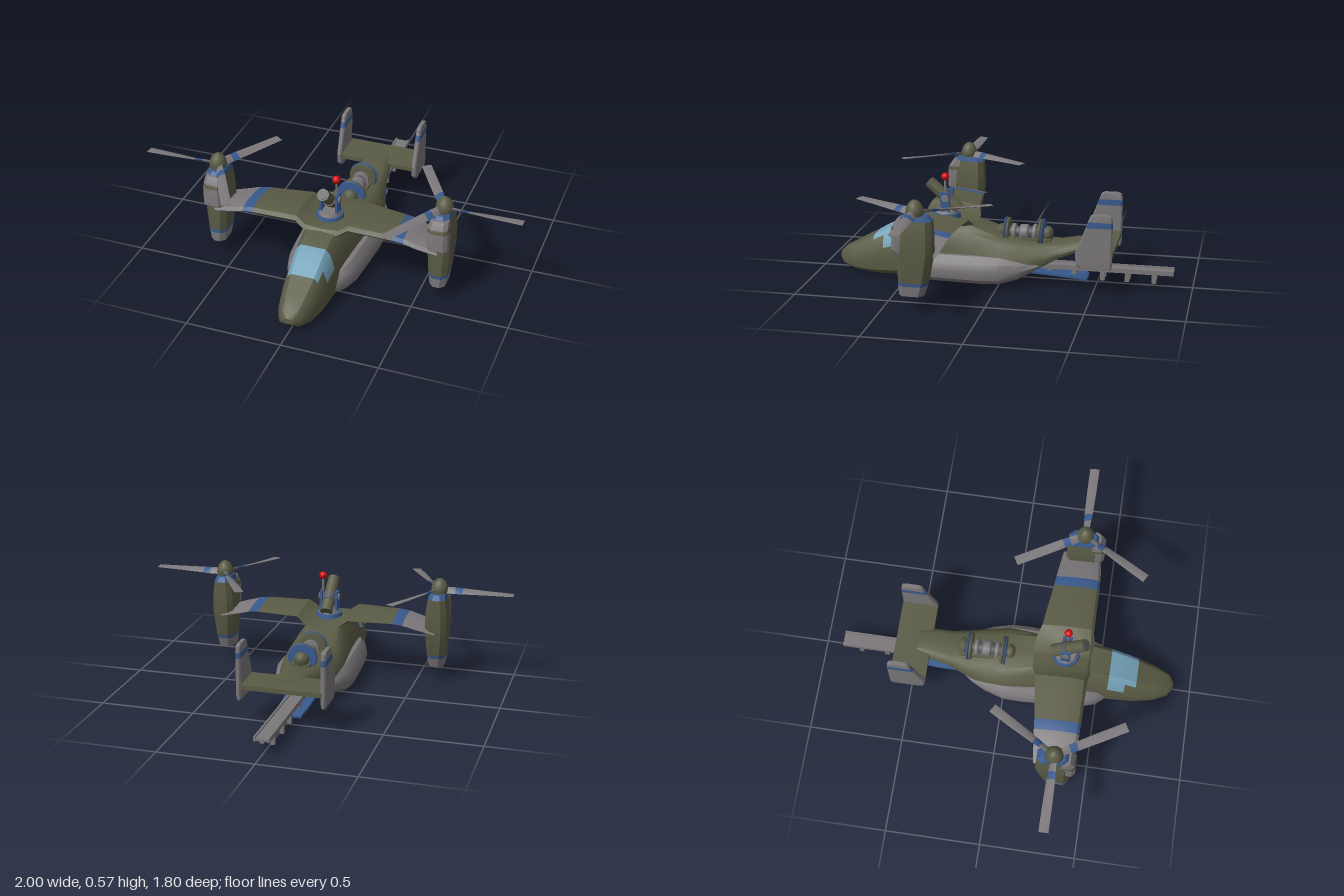
import * as THREE from 'three';
import { toCreasedNormals } from 'three/addons/utils/BufferGeometryUtils.js';

const V = (x, y, z) => new THREE.Vector3(x, y, z);

export function createModel() {
  const root = new THREE.Group();
  root.name = 'tiltrotorAircraft';
  const mat = (name, color) => {
    const m = new THREE.MeshStandardMaterial({ color });
    m.name = name;
    return m;
  };
  const green = mat('olive', 0x5a5b45), grey = mat('grey', 0x7b777a), blue = mat('blue', 0x38598c);
  const glass = mat('glass', 0x74a2b8), red = mat('red', 0xd00c10), dark = mat('darkGrey', 0x55555a);

  const add = (parent, name, geo, material, x = 0, y = 0, z = 0) => {
    const m = new THREE.Mesh(geo, material);
    m.name = name;
    m.position.set(x, y, z);
    parent.add(m);
    return m;
  };
  const box = (parent, name, material, w, h, d, x, y, z) =>
    add(parent, name, new THREE.BoxGeometry(w, h, d), material, x, y, z);

  // Skin closed rings of points; pick(i, j) chooses the material of each panel
  const loft = (parent, name, rings, mats, pick = () => 0, crease = 0.6) => {
    const buckets = mats.map(() => []);
    let volume = 0;
    const tri = (k, a, b, c) => {
      volume += a.dot(b.clone().cross(c));
      buckets[k].push([a, b, c]);
    };
    const n = rings[0].length, last = rings.length - 1;
    for (let i = 0; i < last; i++) for (let j = 0; j < n; j++) {
      const a = rings[i][j], b = rings[i][(j + 1) % n], c = rings[i + 1][(j + 1) % n], d = rings[i + 1][j];
      const k = pick(i, j);
      tri(k, a, b, c);
      tri(k, a, c, d);
    }
    for (const i of [0, last]) {
      const mid = V(0, 0, 0);
      rings[i].forEach(p => mid.addScaledVector(p, 1 / n));
      for (let j = 0; j < n; j++) {
        const a = rings[i][j], b = rings[i][(j + 1) % n];
        const k = pick(Math.min(i, last - 1), j);
        if (i === 0) tri(k, mid, b, a); else tri(k, mid, a, b);
      }
    }
    const pos = [];
    let geo = new THREE.BufferGeometry();
    buckets.forEach((tris, k) => {
      geo.addGroup(pos.length / 3, tris.length * 3, k);
      for (const [a, b, c] of tris)
        for (const p of volume > 0 ? [a, b, c] : [a, c, b]) pos.push(p.x, p.y, p.z);
    });
    geo.setAttribute('position', new THREE.Float32BufferAttribute(pos, 3));
    geo = toCreasedNormals(geo, crease);
    return add(parent, name, geo, mats);
  };

  // Body section: mirrored half profile scaled to [z, bottom, top, half width]
  const bodyRing = half => ([z, b, t, w]) => {
    const right = half.map(([u, v]) => V(u * w, b + v * (t - b), z));
    const left = half.slice(1, -1).reverse().map(([u, v]) => V(-u * w, b + v * (t - b), z));
    return [...right, ...left];
  };
  // Level section with cut corners: [y, front z, back z, half width]
  const blockRing = cut => ([y, z0, z1, w]) => {
    const c = Math.min(cut, w * 0.6);
    const s = z0 > z1 ? 1 : -1;
    return [[w, z0 - s * c], [w, z1 + s * c], [w - c, z1], [c - w, z1], [-w, z1 + s * c],
      [-w, z0 - s * c], [c - w, z0], [w - c, z0]].map(([x, z]) => V(x, y, z));
  };

  // Fuselage with windscreen and grey belly
  const hull = [[0, 0], [0.75, 0], [0.95, 0.1], [1, 0.36], [0.93, 0.62], [0.74, 0.9], [0.55, 1], [0, 1]];
  const stations = [[0.9, 0.055, 0.085, 0.025], [0.875, 0.03, 0.112, 0.058], [0.8, 0.008, 0.15, 0.09],
    [0.7, 0, 0.203, 0.11], [0.64, 0, 0.237, 0.116], [0.55, 0, 0.28, 0.122], [0.43, 0, 0.306, 0.132],
    [0.3, 0, 0.316, 0.142], [0.17, 0, 0.297, 0.155], [0, 0.004, 0.24, 0.18], [-0.1, 0.03, 0.222, 0.163],
    [-0.2, 0.085, 0.213, 0.13], [-0.3, 0.138, 0.214, 0.1], [-0.41, 0.18, 0.236, 0.085], [-0.48, 0.2, 0.228, 0.07]];
  loft(root, 'fuselage', stations.map(bodyRing(hull)), [green, grey, glass], (i, j) => {
    const s = Math.min(j, 13 - j);
    if (s === 0 && i > 0) return 1;
    return (i === 4 && s >= 4) || (i === 3 && s >= 5) ? 2 : 0;
  });

  // Side sponsons
  const pod = [[0, 0], [0.8, 0], [0.95, 0.17], [1, 0.45], [0.95, 0.75], [0.8, 0.96], [0, 1]];
  loft(root, 'sponsons', [[0.56, 0.02, 0.09, 0.11], [0.5, 0.008, 0.14, 0.165], [0.42, 0.004, 0.15, 0.19],
    [0.3, 0.004, 0.155, 0.2], [0.1, 0.004, 0.16, 0.212], [0, 0.008, 0.158, 0.21], [-0.1, 0.034, 0.145, 0.182],
    [-0.17, 0.07, 0.13, 0.15], [-0.23, 0.105, 0.122, 0.11]].map(bodyRing(pod)), [grey]);

  // Wing, nacelle, rotor and fin, built once per side
  const foil = [[0, 0], [0.06, 0.35], [0.25, 0.5], [0.65, 0.35], [1, 0.05], [0.65, -0.4], [0.25, -0.5], [0.06, -0.3]];
  const buildSide = side => {
    const g = new THREE.Group();
    g.name = side + 'Side';
    root.add(g);

    // [x, centre y, front z, back z, thickness]
    const wing = [[0, 0.295, 0.45, 0.14, 0.05], [0.09, 0.3, 0.45, 0.145, 0.055], [0.14, 0.337, 0.44, 0.165, 0.056],
      [0.375, 0.333, 0.438, 0.195, 0.052], [0.43, 0.327, 0.436, 0.2, 0.05], [0.49, 0.31, 0.434, 0.207, 0.048],
      [0.6, 0.282, 0.42, 0.22, 0.044]];
    loft(g, 'wing', wing.map(([x, y, z0, z1, t]) => foil.map(([u, v]) => V(x, y + v * t, z0 + u * (z1 - z0)))),
      [green, blue, grey], i => (i === 3 ? 1 : i >= 4 ? 2 : 0));

    const pivot = new THREE.Group();
    pivot.name = 'nacelleAndRotor';
    pivot.position.x = 0.6;
    g.add(pivot);
    loft(pivot, 'nacelle', [[0.082, 0.41, 0.285, 0.04], [0.135, 0.412, 0.268, 0.046], [0.152, 0.412, 0.262, 0.048],
      [0.31, 0.412, 0.236, 0.058], [0.39, 0.41, 0.236, 0.056], [0.47, 0.405, 0.238, 0.046],
      [0.495, 0.385, 0.262, 0.04]].map(blockRing(0.025)), [grey, blue, green], i => [0, 1, 2, 2, 2, 1][i], 0.4);
    loft(pivot, 'nacelleIntake', [[0.3, 0.415, 0.35, 0.048], [0.32, 0.44, 0.35, 0.053], [0.42, 0.44, 0.35, 0.052],
      [0.44, 0.435, 0.35, 0.05], [0.478, 0.41, 0.35, 0.046]].map(blockRing(0.018)), [grey, green],
      i => (i === 2 ? 1 : 0), 0.4);

    const rotor = new THREE.Group();
    rotor.name = 'rotor';
    rotor.position.set(0.005, 0.51, 0.325);
    pivot.add(rotor);
    const cone = [[0.036, -0.03], [0.046, -0.005], [0.043, 0.02], [0.031, 0.045], [0.014, 0.06], [0, 0.063]];
    add(rotor, 'spinner', new THREE.LatheGeometry(cone.map(p => new THREE.Vector2(...p)), 20), green);
    for (let k = 0; k < 3; k++) {
      // [radius, half chord, half thickness, twist]
      const rings = [[0.02, 0.02, 0.008, 0.8], [0.085, 0.023, 0.007, 0.6], [0.125, 0.024, 0.006, 0.45],
        [0.25, 0.025, 0.004, 0.2], [0.395, 0.025, 0.002, 0.05]].map(([r, c, t, a]) =>
        [[c, 0], [0.3 * c, t], [-c, 0], [0.3 * c, -t]].map(([u, v]) =>
          V(r, u * Math.sin(a) + v * Math.cos(a), u * Math.cos(a) - v * Math.sin(a))));
      loft(rotor, 'blade', rings, [grey, blue], i => (i === 1 ? 1 : 0)).rotation.y = k * Math.PI * 2 / 3;
    }

    const fin = loft(g, 'tailFin', [[0.14, -0.44, -0.595, 0.01], [0.165, -0.415, -0.6, 0.013], [0.22, -0.41, -0.6, 0.013],
      [0.362, -0.463, -0.6, 0.013], [0.393, -0.474, -0.6, 0.013], [0.425, -0.486, -0.595, 0.012],
      [0.433, -0.5, -0.58, 0.01]].map(blockRing(0.007)), [grey, blue], i => (i === 3 ? 1 : 0), 0.4);
    fin.position.x = 0.218;
    if (side === 'right') g.scale.x = -1;
  };
  ['left', 'right'].forEach(buildSide);

  // Tailplane
  box(root, 'tailplane', green, 0.42, 0.024, 0.19, 0, 0.212, -0.505);

  // Winch on the rear deck
  const winch = new THREE.Group();
  winch.name = 'winch';
  winch.position.set(0, 0.25, -0.11);
  root.add(winch);
  const turned = (name, profile, material, z) => {
    const m = add(winch, name, new THREE.LatheGeometry(profile.map(p => new THREE.Vector2(...p)), 24), material, 0, 0, z);
    m.rotation.x = Math.PI / 2;
    return m;
  };
  const disc = (name, r, h, material, z) => turned(name, [[0, -h / 2], [r * 0.93, -h / 2], [r, -h / 4], [r, h / 4],
    [r * 0.93, h / 2], [0, h / 2]], material, z);
  disc('drum', 0.03, 0.26, dark, 0);
  for (const s of [-1, 1]) {
    disc('drumFlange', 0.075, 0.016, green, s * 0.085);
    disc('flangeRing', 0.078, 0.01, blue, s * 0.1);
    disc('bearing', 0.045, 0.022, grey, s * 0.055);
    const cap = turned('endCap', [[0.03, 0], [0.04, 0.008], [0.038, 0.025], [0.022, 0.04], [0, 0.044]], green, s * 0.11);
    if (s < 0) cap.rotation.x = -Math.PI / 2;
  }
  disc('rope', 0.042, 0.05, grey, 0);
  box(root, 'winchCradle', green, 0.1, 0.025, 0.27, 0, 0.216, -0.12);

  // Turret on the wing centre
  const turret = new THREE.Group();
  turret.name = 'turret';
  turret.position.set(0, 0.315, 0.31);
  root.add(turret);
  add(turret, 'turretBase', new THREE.CylinderGeometry(0.068, 0.075, 0.03, 24), blue, 0, 0.008, 0);
  add(turret, 'turretRing', new THREE.CylinderGeometry(0.053, 0.06, 0.016, 24), grey, 0, 0.03, 0);
  for (const s of [-1, 1]) {
    box(turret, 'turretBracket', blue, 0.014, 0.11, 0.05, s * 0.043, 0.085, 0);
    const pin = add(turret, 'turretPivot', new THREE.CylinderGeometry(0.02, 0.02, 0.016, 16), grey, s * 0.048, 0.11, 0);
    pin.rotation.z = Math.PI / 2;
  }
  const barrel = new THREE.Group();
  barrel.name = 'barrel';
  barrel.position.set(0, 0.1, 0);
  barrel.rotation.x = 0.85;
  turret.add(barrel);
  add(barrel, 'barrelTube', new THREE.CylinderGeometry(0.031, 0.034, 0.22, 20), green, 0, 0.02, 0);
  add(barrel, 'barrelCollar', new THREE.CylinderGeometry(0.037, 0.037, 0.04, 20), dark);
  add(barrel, 'muzzle', new THREE.CylinderGeometry(0.022, 0.022, 0.006, 20), dark, 0, 0.13, 0);
  add(turret, 'leverRod', new THREE.CylinderGeometry(0.006, 0.006, 0.15, 10), grey, 0.036, 0.15, 0);
  add(turret, 'leverKnob', new THREE.SphereGeometry(0.021, 20, 14), red, 0.036, 0.225, 0);

  // Rear loading rail on short legs
  box(root, 'rail', grey, 0.08, 0.012, 0.77, 0, 0.079, -0.515);
  for (const s of [-1, 1]) {
    box(root, 'railEdge', grey, 0.01, 0.024, 0.77, s * 0.036, 0.081, -0.515);
    [-0.25, -0.38, -0.53, -0.66, -0.8].forEach((z, i) =>
      box(root, 'railLeg', grey, 0.02, i < 2 ? 0.03 : 0.054, 0.024, s * 0.028, i < 2 ? 0.06 : 0.048, z));
  }

  // Drooping ramp below the rail: [z, y, half width]
  loft(root, 'ramp', [[-0.12, 0.058, 0.08], [-0.25, 0.051, 0.08], [-0.38, 0.04, 0.076], [-0.42, 0.034, 0.07],
    [-0.45, 0.022, 0.062]].map(([z, y, w]) =>
    [[w, 0.006], [-w, 0.006], [-w, -0.006], [w, -0.006]].map(([x, d]) => V(x, y + d, z))), [blue]);

  return root;
}
